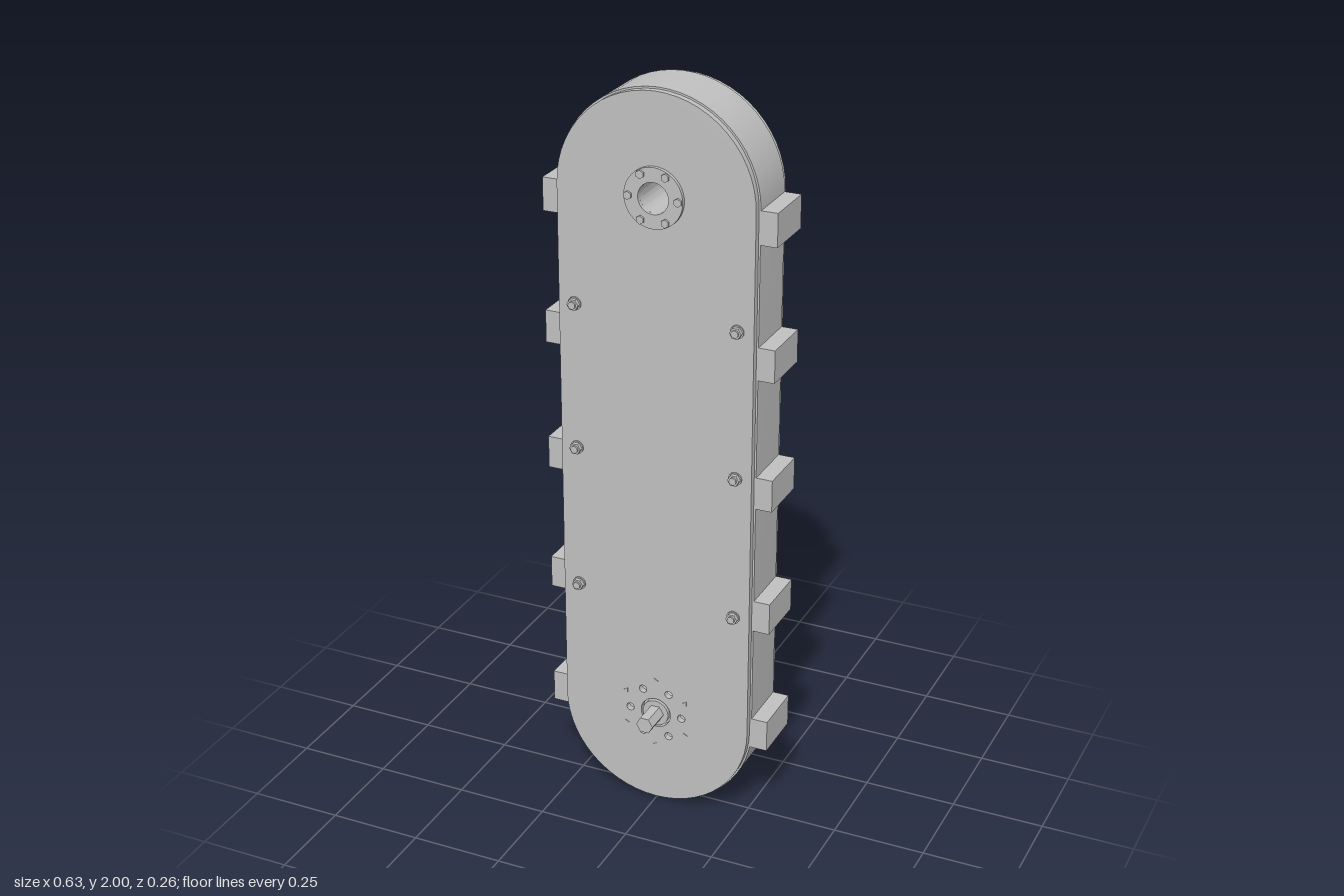
import * as THREE from 'three';
import { toCreasedNormals } from 'three/addons/utils/BufferGeometryUtils.js';

const TOP_Y = 1.733, LOW_Y = 0.273;          // pulley axes
const BACK = -0.128, FRONT = 0.058;          // outer faces of the side plates
const BELT_BACK = -0.11, BELT_FRONT = 0.04;

export function createModel() {
  const model = new THREE.Group();
  model.name = 'trackModule';
  const steel = new THREE.MeshStandardMaterial({ color: 0xc0c0c0 });
  steel.name = 'steel grey';

  const add = (name, geometry, x = 0, y = 0, z = 0) => {
    const mesh = new THREE.Mesh(geometry, steel);
    mesh.name = name;
    mesh.position.set(x, y, z);
    model.add(mesh);
    return mesh;
  };

  // Outline with two round ends
  const stadium = (r, Kind = THREE.Shape) => {
    const s = new Kind();
    s.absarc(0, TOP_Y, r, 0, Math.PI, false);
    s.absarc(0, LOW_Y, r, Math.PI, Math.PI * 2, false);
    s.closePath();
    return s;
  };
  const hole = (x, y, r) => {
    const p = new THREE.Path();
    p.absarc(x, y, r, 0, Math.PI * 2, true);
    return p;
  };
  const extrude = (shape, depth, curveSegments = 14) => toCreasedNormals(
    new THREE.ExtrudeGeometry(shape, { depth, bevelEnabled: false, curveSegments }), 0.5);

  // Disc or prism along z, from z0 to z1
  const rod = (name, x, y, z0, z1, r, sides = 20, turn = 0) => {
    const g = new THREE.CylinderGeometry(r, r, z1 - z0, sides);
    g.rotateY(turn);
    g.rotateX(Math.PI / 2);
    return add(name, sides < 8 ? toCreasedNormals(g, 0.5) : g, x, y, (z0 + z1) / 2);
  };
  // Hollow ring along z
  const ring = (name, y, z0, z1, outer, inner) => {
    const s = new THREE.Shape();
    s.absarc(0, 0, outer, 0, Math.PI * 2, false);
    s.holes.push(hole(0, 0, inner));
    return add(name, extrude(s, z1 - z0, 24), 0, y, z0);
  };
  // Six places on a circle
  const six = (cy, r, start, fn) => {
    for (let i = 0; i < 6; i++) {
      const a = start + i * Math.PI / 3;
      fn(Math.cos(a) * r, cy + Math.sin(a) * r, a);
    }
  };

  // Belt loop
  const belt = stadium(0.271);
  belt.holes.push(stadium(0.245, THREE.Path));
  add('belt', extrude(belt, BELT_FRONT - BELT_BACK), 0, 0, BELT_BACK);

  // Side plates with shaft openings and a circle of through holes
  const plate = (name, z, depth, shaftHole, smallHole) => {
    const s = stadium(0.266);
    s.holes.push(hole(0, TOP_Y, 0.041), hole(0, LOW_Y, shaftHole));
    six(LOW_Y, 0.075, 0, (x, y) => s.holes.push(hole(x, y, smallHole)));
    add(name, extrude(s, depth), 0, 0, z);
  };
  plate('frontPlate', BELT_FRONT, FRONT - BELT_FRONT, 0.043, 0.011);
  plate('backPlate', BACK, BELT_BACK - BACK, 0.024, 0.016);

  // Cleats on both runs of the belt
  for (let i = 0; i < 5; i++) {
    for (const side of [-1, 1]) {
      add('cleat', new THREE.BoxGeometry(0.06, 0.088, BELT_FRONT - BELT_BACK),
        side * 0.285, 0.27 + i * 0.355, (BELT_FRONT + BELT_BACK) / 2);
    }
  }

  // Through bolts: washer and nut in front, low head behind
  for (const y of [0.62, 1.02, 1.42]) {
    for (const x of [-0.222, 0.222]) {
      rod('washer', x, y, FRONT, 0.062, 0.018);
      rod('nut', x, y, 0.062, 0.073, 0.016, 6, Math.PI / 6);
      rod('boltTip', x, y, 0.073, 0.078, 0.01, 12);
      rod('boltHead', x, y, -0.133, BACK, 0.0145, 16);
    }
  }

  // Upper bearing, open through the middle
  ring('bearingSleeve', TOP_Y, BACK + 0.001, FRONT, 0.05, 0.041);
  ring('bearingFlange', TOP_Y, FRONT, 0.068, 0.079, 0.041);
  six(TOP_Y, 0.067, 0, (x, y) => rod('flangeBolt', x, y, 0.068, 0.074, 0.011, 6));

  // Lower drive: collar, hexagonal shaft and gearbox bolts
  ring('driveCollar', LOW_Y, BELT_BACK, 0.06, 0.037, 0.018);
  rod('driveShaft', 0, LOW_Y, -0.12, 0.13, 0.024, 6, Math.PI / 6);
  six(LOW_Y, 0.1, Math.PI / 6, (x, y, a) => {
    rod('gearboxBoltHead', x, y, -0.133, BACK, 0.0125, 16);
    rod('gearboxBoltTip', x, y, FRONT, 0.06, 0.008, 3, a);
  });

  return model;
}
